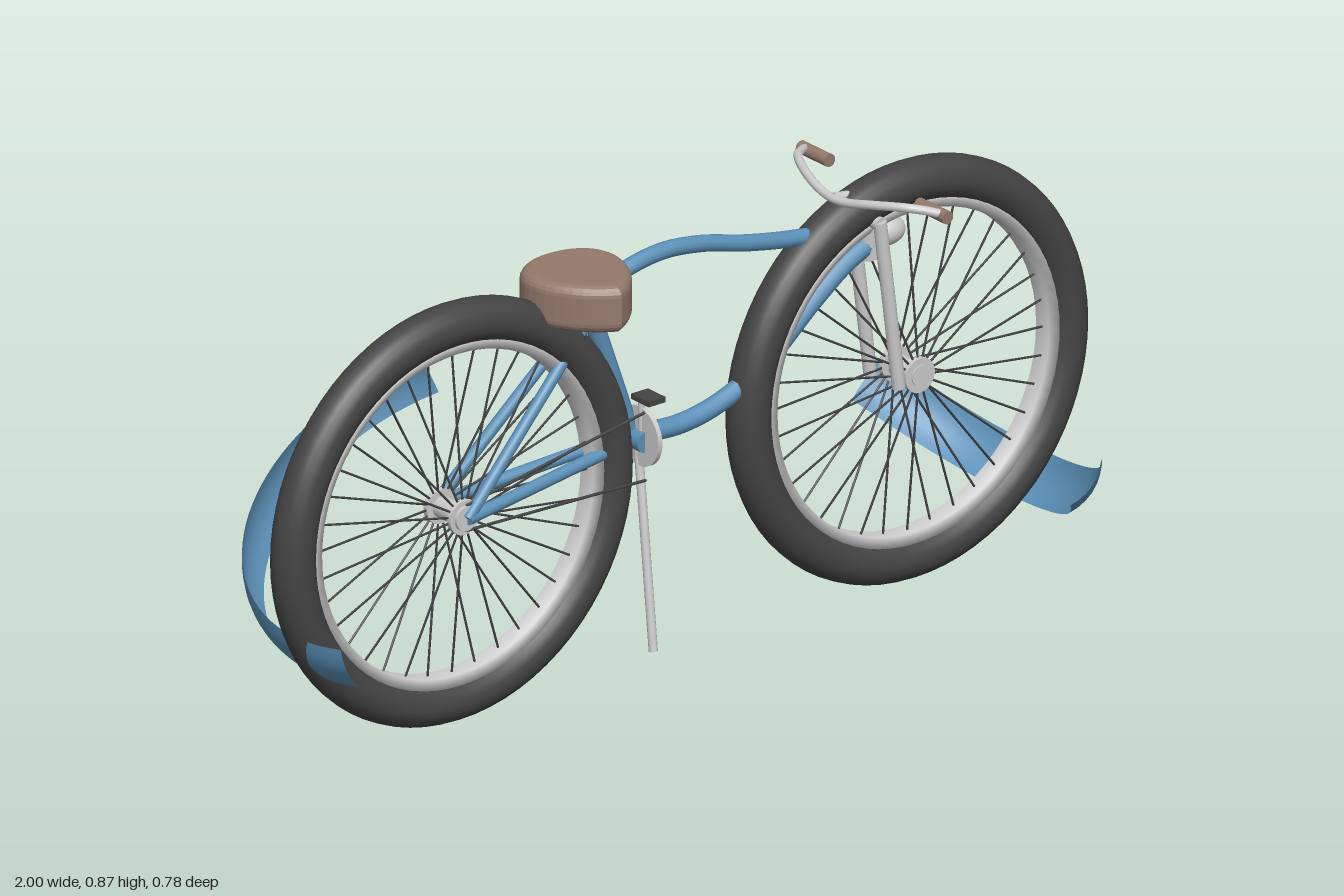
import * as THREE from 'three';

const mat = (color, side = THREE.FrontSide) => new THREE.MeshStandardMaterial({ color, side });
const GREY = mat(0xcccccc), BLUE = mat(0x5b90b8), BROWN = mat(0x94796b), BLACK = mat(0x444444);
const BLUE_THIN = mat(0x5b90b8, THREE.DoubleSide);
const V = (x, y, z) => new THREE.Vector3(x, y, z);
const MID = 0.043; // plane of the wheels and frame
const REAR = V(-0.565, 0.44, MID), FRONT = V(0.562, 0.44, MID);

export function createModel() {
  const bike = new THREE.Group();
  bike.name = 'bicycle';

  function add(name, geometry, material, parent = bike) {
    const mesh = new THREE.Mesh(geometry, material);
    mesh.name = name;
    parent.add(mesh);
    return mesh;
  }
  // straight round bar between two points
  function bar(name, a, b, r, material, parent = bike, sides = 12) {
    const mesh = add(name, new THREE.CylinderGeometry(r, r, a.distanceTo(b), sides), material, parent);
    mesh.position.copy(a).add(b).multiplyScalar(0.5);
    mesh.quaternion.setFromUnitVectors(V(0, 1, 0), b.clone().sub(a).normalize());
    return mesh;
  }
  // curved tube through points
  function tube(name, points, r, material) {
    return add(name, new THREE.TubeGeometry(new THREE.CatmullRomCurve3(points), 48, r, 12), material);
  }

  // wheels: tyre, rim, hub and spokes
  function wheel(name, center) {
    const g = new THREE.Group();
    g.name = name;
    g.position.copy(center);
    bike.add(g);
    add('tyre', new THREE.TorusGeometry(0.392, 0.0445, 20, 72), BLACK, g);
    const profile = [[0.336, -0.02], [0.336, 0.02], [0.36, 0.028], [0.36, -0.028], [0.336, -0.02]]
      .map(([r, y]) => new THREE.Vector2(r, y));
    add('rim', new THREE.LatheGeometry(profile, 64), mat(0xcccccc, THREE.DoubleSide), g).rotation.x = Math.PI / 2;
    bar('hub', V(0, 0, -0.045), V(0, 0, 0.045), 0.022, GREY, g, 24);
    for (const s of [-1, 1]) bar('hubFlange', V(0, 0, s * 0.03), V(0, 0, s * 0.042), 0.036, GREY, g, 24);
    for (let i = 0; i < 36; i++) {
      const a = (i / 36) * Math.PI * 2, c = Math.cos(a), s = Math.sin(a);
      bar('spoke', V(c * 0.03, s * 0.03, i % 2 ? 0.034 : -0.034), V(c * 0.345, s * 0.345, 0), 0.0024, BLACK, g, 5);
    }
  }
  wheel('rearWheel', REAR);
  wheel('frontWheel', FRONT);

  // mudguard: crowned strip swept about a wheel centre, in a plane holding z and a tilted axis
  function fender(name, center, tilt, from, to) {
    const nu = 40, nv = 6, pos = [], index = [];
    const u = V(Math.cos(tilt), Math.sin(tilt), 0), n = V(-Math.sin(tilt), Math.cos(tilt), 0);
    for (let i = 0; i <= nu; i++) {
      const a = THREE.MathUtils.degToRad(from + ((to - from) * i) / nu);
      for (let j = 0; j <= nv; j++) {
        const t = (j / nv) * 2 - 1, r = 0.43 - 0.014 * t * t;
        const p = center.clone().addScaledVector(u, r * Math.cos(a)).addScaledVector(n, t * 0.054);
        pos.push(p.x, p.y, p.z + r * Math.sin(a));
        if (i < nu && j < nv) {
          const k = i * (nv + 1) + j, m = k + nv + 1;
          index.push(k, k + 1, m, k + 1, m + 1, m);
        }
      }
    }
    const geo = new THREE.BufferGeometry();
    geo.setAttribute('position', new THREE.Float32BufferAttribute(pos, 3));
    geo.setIndex(index);
    geo.computeVertexNormals();
    add(name, geo, BLUE_THIN);
  }
  fender('rearFender', REAR, Math.PI / 6, 163, 306);
  fender('frontFender', FRONT, -Math.PI / 4, -54, 54);

  // frame
  const crank = V(-0.12, 0.482, MID);
  tube('topTube', [V(-0.22, 0.79, MID), V(-0.15, 0.828, MID), V(-0.05, 0.847, MID), V(0.05, 0.838, MID),
    V(0.17, 0.808, MID), V(0.3, 0.785, MID), V(0.46, 0.772, MID)], 0.017, BLUE);
  tube('downTube', [V(-0.12, 0.482, MID), V(0, 0.474, MID), V(0.1, 0.493, MID), V(0.2, 0.54, MID),
    V(0.33, 0.645, MID), V(0.41, 0.702, MID), V(0.48, 0.735, MID)], 0.02, BLUE);
  bar('seatTube', V(-0.24, 0.82, MID), crank, 0.019, BLUE);
  bar('headTube', V(0.456, 0.82, MID), V(0.472, 0.7, MID), 0.022, GREY);
  bar('bottomBracket', V(-0.12, 0.482, -0.005), V(-0.12, 0.482, 0.09), 0.022, BLUE, bike, 20);
  for (const s of [-1, 1]) {
    const z = MID + s * 0.05;
    bar('chainStay', V(-0.12, 0.48, MID + s * 0.012), V(-0.565, 0.44, z), 0.013, BLUE);
    bar('seatStay', V(-0.225, 0.77, MID + s * 0.012), V(-0.565, 0.44, z), 0.012, BLUE);
    // fork legs and crown
    const top = V(0.46, 0.79, MID + s * 0.044), foot = V(0.507, 0.43, MID + s * 0.044);
    bar('forkLeg', top, foot, 0.0135, GREY);
  }
  bar('forkCrown', V(0.46, 0.785, -0.005), V(0.46, 0.785, 0.091), 0.014, GREY);

  // headlamp
  const lamp = add('headlamp', new THREE.SphereGeometry(1, 24, 16), GREY);
  lamp.scale.set(0.042, 0.03, 0.032);
  lamp.position.set(0.51, 0.745, MID);

  // handlebar, stem and grips
  const half = [[0.48, 0.855, 0.21], [0.455, 0.863, 0.192], [0.425, 0.868, 0.165], [0.395, 0.86, 0.1], [0.383, 0.848, 0.04]];
  const side = (s) => half.map(([x, y, z]) => V(x, y, MID + s * z));
  tube('handlebar', [...side(1), V(0.38, 0.845, MID), ...side(-1).reverse()], 0.009, GREY);
  bar('stem', V(0.38, 0.846, MID), V(0.456, 0.835, MID), 0.011, GREY);
  bar('steerer', V(0.452, 0.845, MID), V(0.46, 0.78, MID), 0.012, GREY);
  for (const s of [-1, 1]) bar('grip', V(0.482, 0.852, MID + s * 0.138), V(0.482, 0.852, MID + s * 0.226), 0.0135, BROWN, bike, 16);

  // saddle: teardrop outline with rounded edges
  const bev = 0.022;
  const outline = new THREE.Shape();
  outline.moveTo(0, 0.166);
  outline.bezierCurveTo(0.035, 0.15, 0.086, 0.095, 0.086, 0.04);
  outline.bezierCurveTo(0.086, -0.005, 0.045, -0.027, 0, -0.027);
  outline.bezierCurveTo(-0.045, -0.027, -0.086, -0.005, -0.086, 0.04);
  outline.bezierCurveTo(-0.086, 0.095, -0.035, 0.15, 0, 0.166);
  const seat = new THREE.ExtrudeGeometry(outline, { depth: 0.098 - 2 * bev, bevelSize: bev, bevelThickness: bev, bevelSegments: 5, curveSegments: 10 });
  seat.rotateX(Math.PI / 2);
  add('saddle', seat, BROWN).position.set(-0.262, 0.876 - bev, 0);

  // chainwheel, cranks, pedals
  bar('chainwheel', V(-0.124, 0.49, 0.07), V(-0.114, 0.49, 0.07), 0.062, GREY, bike, 32);
  for (const s of [-1, 1]) {
    const z = s > 0 ? 0.075 : 0.002, y = 0.485 + s * 0.09;
    bar('crankArm', V(-0.12, 0.485, z), V(-0.12, y, z), 0.007, GREY);
    add('pedal', new THREE.BoxGeometry(0.042, 0.011, 0.055), BLACK).position.set(-0.117, y, s > 0 ? 0.092 : -0.01);
  }
  // chain runs and rear sprocket
  bar('chainTop', V(-0.565, 0.466, 0.088), V(-0.12, 0.545, 0.088), 0.003, BLACK, bike, 6);
  bar('chainBottom', V(-0.565, 0.414, 0.088), V(-0.12, 0.402, 0.088), 0.003, BLACK, bike, 6);
  bar('sprocket', V(-0.565, 0.44, 0.084), V(-0.565, 0.44, 0.092), 0.026, GREY, bike, 20);

  // kickstand
  bar('kickstand', V(-0.116, 0.46, 0.06), V(-0.136, 0.062, 0.131), 0.009, GREY);
  return bike;
}
